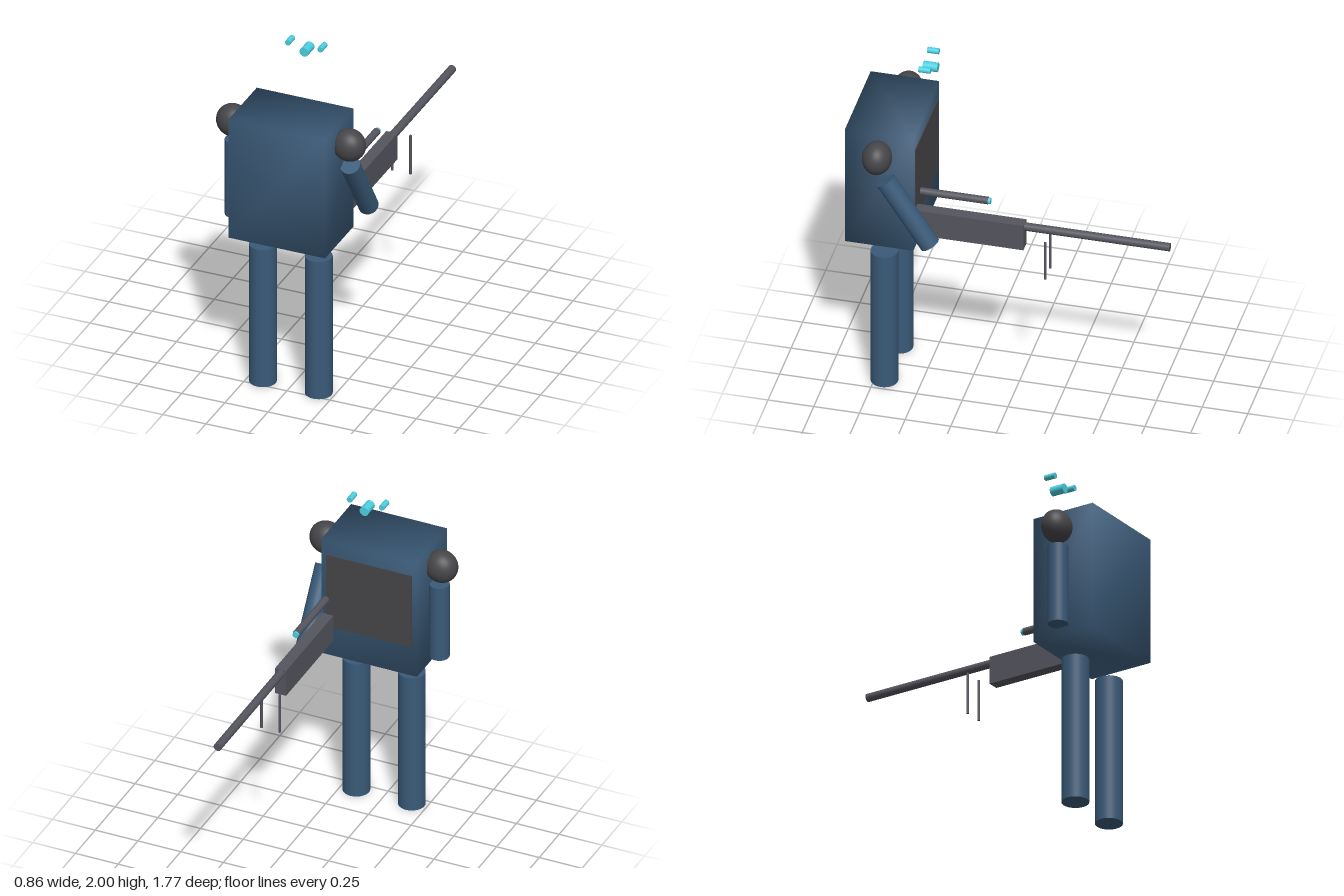
import * as THREE from 'three';
import { mergeVertices } from 'three/addons/utils/BufferGeometryUtils.js';

const paint = (color) => new THREE.MeshStandardMaterial({ color });

export function createModel() {
  const model = new THREE.Group();
  const blue = paint(0x3a5a78);
  const dark = paint(0x46464a);
  const metal = paint(0x55555f);
  const glow = paint(0x4dd0e1);

  function add(name, geometry, material, x, y, z) {
    const mesh = new THREE.Mesh(geometry, material);
    mesh.name = name;
    mesh.position.set(x, y, z);
    model.add(mesh);
    return mesh;
  }

  // Upright cylinder
  const post = (name, r, length, material, x, y, z) =>
    add(name, new THREE.CylinderGeometry(r, r, length, 32), material, x, y, z);

  // Cylinder lying along z between two depths
  function rod(name, r, z0, z1, material, x, y) {
    const mesh = post(name, r, Math.abs(z1 - z0), material, x, y, (z0 + z1) / 2);
    mesh.rotation.x = Math.PI / 2;
    return mesh;
  }

  // Torso: box with shared corners for soft shading
  let torso = new THREE.BoxGeometry(0.56, 0.72, 0.375);
  torso.deleteAttribute('normal');
  torso.deleteAttribute('uv');
  torso = mergeVertices(torso);
  torso.computeVertexNormals();
  add('torso', torso, blue, 0, 1.3, 0.6975);
  add('chestPlate', new THREE.BoxGeometry(0.5, 0.45, 0.03), dark, 0, 1.345, 0.52);

  // Shoulders and legs
  for (const [side, s] of [['left', 1], ['right', -1]]) {
    const shoulder = add(side + 'Shoulder', new THREE.SphereGeometry(1, 32, 20), dark, s * 0.337, 1.547, 0.695);
    shoulder.scale.set(0.092, 0.092, 0.08);
    post(side + 'Leg', 0.074, 0.835, blue, s * 0.162, 0.4175, 0.698);
  }

  // Arms: one hanging, one reaching to the gun
  post('rightArm', 0.055, 0.455, blue, -0.325, 1.2075, 0.695);
  const leftArm = post('leftArm', 0.055, 0.446, blue, 0.323, 1.213, 0.53);
  leftArm.rotation.x = 0.58;

  // Gun with barrel, scope and bipod
  add('gunBody', new THREE.BoxGeometry(0.065, 0.157, 0.6), metal, 0.24, 1.118, 0.21);
  rod('barrel', 0.0225, -0.085, -0.885, metal, 0.24, 1.172);
  rod('scope', 0.0205, 0.48, 0.11, metal, 0.24, 1.305);
  rod('scopeLens', 0.017, 0.11, 0.096, glow, 0.24, 1.305);
  for (const s of [1, -1]) {
    post('bipodLeg', 0.007, 0.235, metal, 0.24 + s * 0.053, 1.007, -0.215);
  }

  // Floating eye lenses
  rod('mainEye', 0.026, 0.525, 0.445, glow, 0, 1.946);
  for (const s of [1, -1]) {
    rod('sideEye', 0.016, 0.527, 0.463, glow, s * 0.094, 1.984);
  }
  return model;
}
